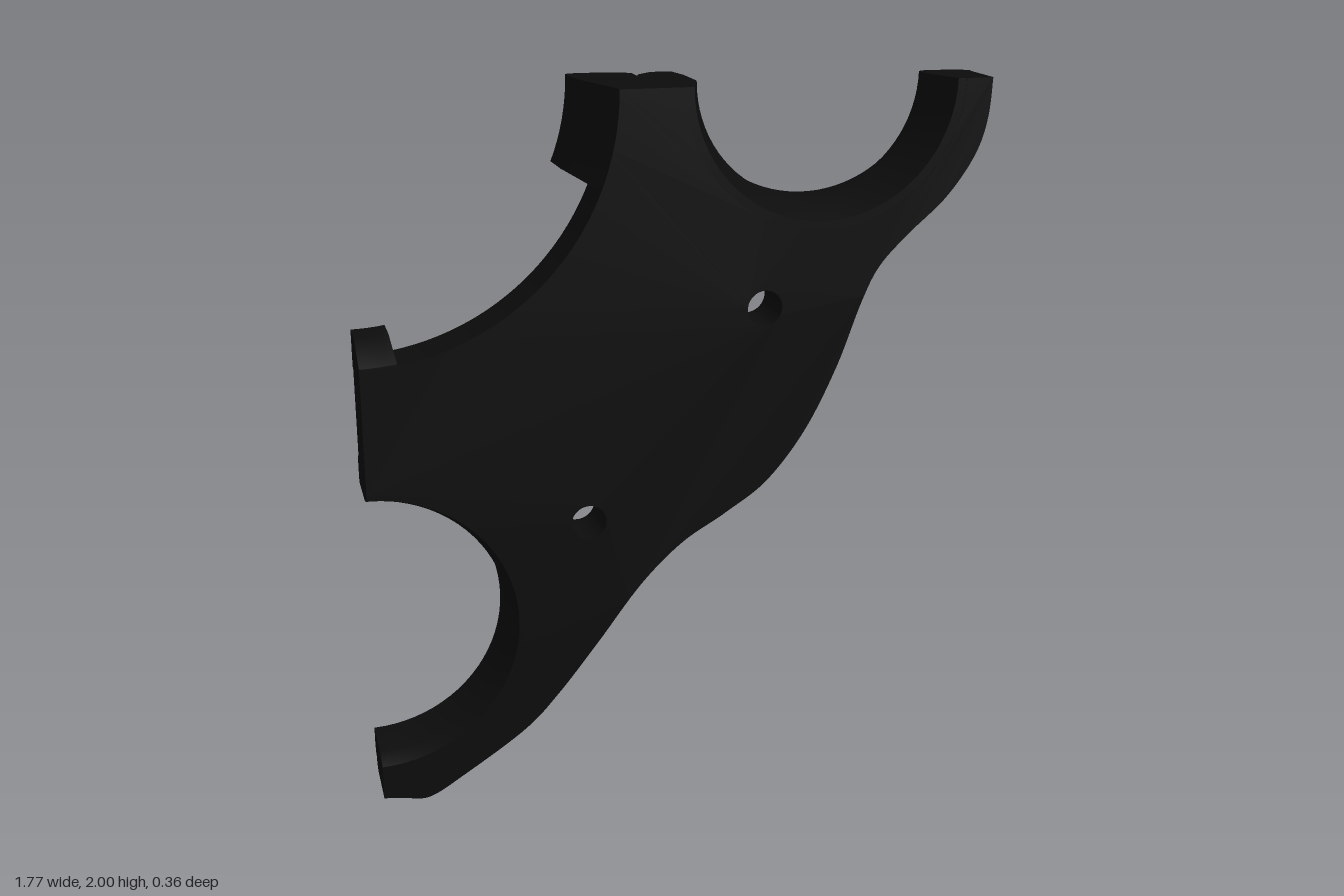
import * as THREE from 'three';
import { toCreasedNormals } from 'three/addons/utils/BufferGeometryUtils.js';

const LEFT = -0.88, TOP = 2;
const upper = { x: 0.402, y: 2, r: 0.4 };
const lower = { x: -0.88, y: 0.525, r: 0.42 };
const side = { x: -0.88, y: 2, r: 0.705 };

// Plate outline, run slightly past the two straight cut edges
function plateShape() {
  const edge = [
    [-0.82, 0.012], [-0.75, 0.005], [-0.65, 0.06], [-0.47, 0.18], [-0.37, 0.28], [-0.25, 0.43],
    [-0.12, 0.6], [0, 0.715], [0.13, 0.795], [0.25, 0.88], [0.36, 1.02], [0.45, 1.2],
    [0.52, 1.39], [0.57, 1.49], [0.65, 1.575], [0.76, 1.675], [0.84, 1.79], [0.873, 1.9], [0.88, 2.05],
  ].map(([x, y]) => new THREE.Vector2(x, y));
  const s = new THREE.Shape();
  s.moveTo(-0.93, 0.02);
  s.lineTo(edge[0].x, edge[0].y);
  s.splineThru(edge.slice(1));
  s.lineTo(upper.x + upper.r, 2.05);
  s.absarc(upper.x, upper.y, upper.r, 0, Math.PI, true);
  s.lineTo(upper.x - upper.r, 2.05);
  s.lineTo(side.x + side.r, 2.05);
  s.absarc(side.x, side.y, side.r, 0, -Math.PI / 2, true);
  s.lineTo(-0.93, side.y - side.r);
  s.lineTo(-0.93, lower.y + lower.r);
  s.absarc(lower.x, lower.y, lower.r, Math.PI / 2, -Math.PI / 2, true);
  s.lineTo(-0.93, lower.y - lower.r);
  for (const [x, y] of [[0.235, 1.39], [-0.27, 0.805]]) {
    const hole = new THREE.Path();
    hole.absarc(x, y, 0.05, 0, Math.PI * 2, true);
    s.holes.push(hole);
  }
  return s;
}

// Move every vertex by a rule, then restore normals with sharp edges
function reshape(geometry, rule) {
  const p = geometry.attributes.position;
  const v = new THREE.Vector3();
  for (let i = 0; i < p.count; i++) {
    rule(v.fromBufferAttribute(p, i));
    p.setXYZ(i, v.x, v.y, v.z);
  }
  return toCreasedNormals(geometry, 0.6);
}

// Extruded plate layer, trimmed flat at the cut edges
function plateLayer(z, options) {
  const g = new THREE.ExtrudeGeometry(plateShape(), { curveSegments: 28, ...options });
  g.translate(0, 0, z);
  return reshape(g, (v) => {
    v.x = Math.max(v.x, LEFT);
    v.y = Math.min(v.y, TOP);
  });
}

// Sweep a closed (radius, z) profile around a centre, with capped ends
function sector(profile, c, fromDeg, toDeg, steps, rule = () => {}) {
  const shape = new THREE.Shape(profile.map(([r, z]) => new THREE.Vector2(r, z)));
  const g = new THREE.ExtrudeGeometry(shape, { depth: 1, steps, bevelEnabled: false });
  return reshape(g, (v) => {
    const a = THREE.MathUtils.degToRad(toDeg - (toDeg - fromDeg) * v.z);
    const r = v.x;
    v.set(c.x + r * Math.cos(a), c.y + r * Math.sin(a), v.y);
    rule(v);
  });
}

export function createModel() {
  const group = new THREE.Group();
  group.name = 'bracket';
  const black = new THREE.MeshStandardMaterial({ color: 0x0c0c0c });
  black.name = 'black';
  const add = (name, geometry) => {
    const mesh = new THREE.Mesh(geometry, black);
    mesh.name = name;
    group.add(mesh);
  };

  // Flat front layer and rounded back layer with countersunk holes
  add('platefront', plateLayer(0.02, { depth: 0.135, bevelEnabled: false }));
  add('plateBack', plateLayer(0.01, {
    depth: 0.04, bevelThickness: 0.04, bevelSize: 0.03, bevelOffset: -0.03, bevelSegments: 3,
  }));

  // Collar of the upper cut-out, its back falling away towards the arm
  add('upperCollar', sector([
    [0.375, 0.154], [0.333, 0.03], [0.333, -0.1], [0.345, -0.18], [0.37, -0.19], [0.41, -0.178],
    [0.45, -0.14], [0.475, -0.08], [0.484, -0.02], [0.47, 0.03], [0.45, 0.154],
  ], upper, 180, 360, 40, (v) => {
    if (v.z >= 0) return;
    const h = 0.02 + 0.17 * (1 - Math.pow(Math.max(v.x, 0) / 0.66, 1.6));
    v.z *= Math.max(h, 0.035) / 0.19;
  }));

  // Collar of the lower cut-out
  add('lowerCollar', sector([
    [0.405, 0.154], [0.385, 0.1], [0.385, -0.045], [0.395, -0.056], [0.44, -0.056],
    [0.465, -0.048], [0.475, -0.025], [0.475, 0.1], [0.45, 0.154],
  ], lower, -90, 90, 40));

  // Leaning post at the top and small lug at the left
  add('topPost', sector([
    [0.71, 0.154], [0.642, -0.08], [0.636, -0.19], [0.645, -0.205], [0.75, -0.205],
    [0.79, -0.195], [0.82, -0.17], [0.82, 0.154],
  ], side, -22, 0, 8));
  add('sideLug', sector([
    [0.7, 0.154], [0.645, 0.05], [0.645, -0.045], [0.75, -0.045], [0.75, 0.154],
  ], side, -90, -81.8, 4));

  // Slight forward lean of the whole part
  group.rotation.x = 0.0125;
  return group;
}
